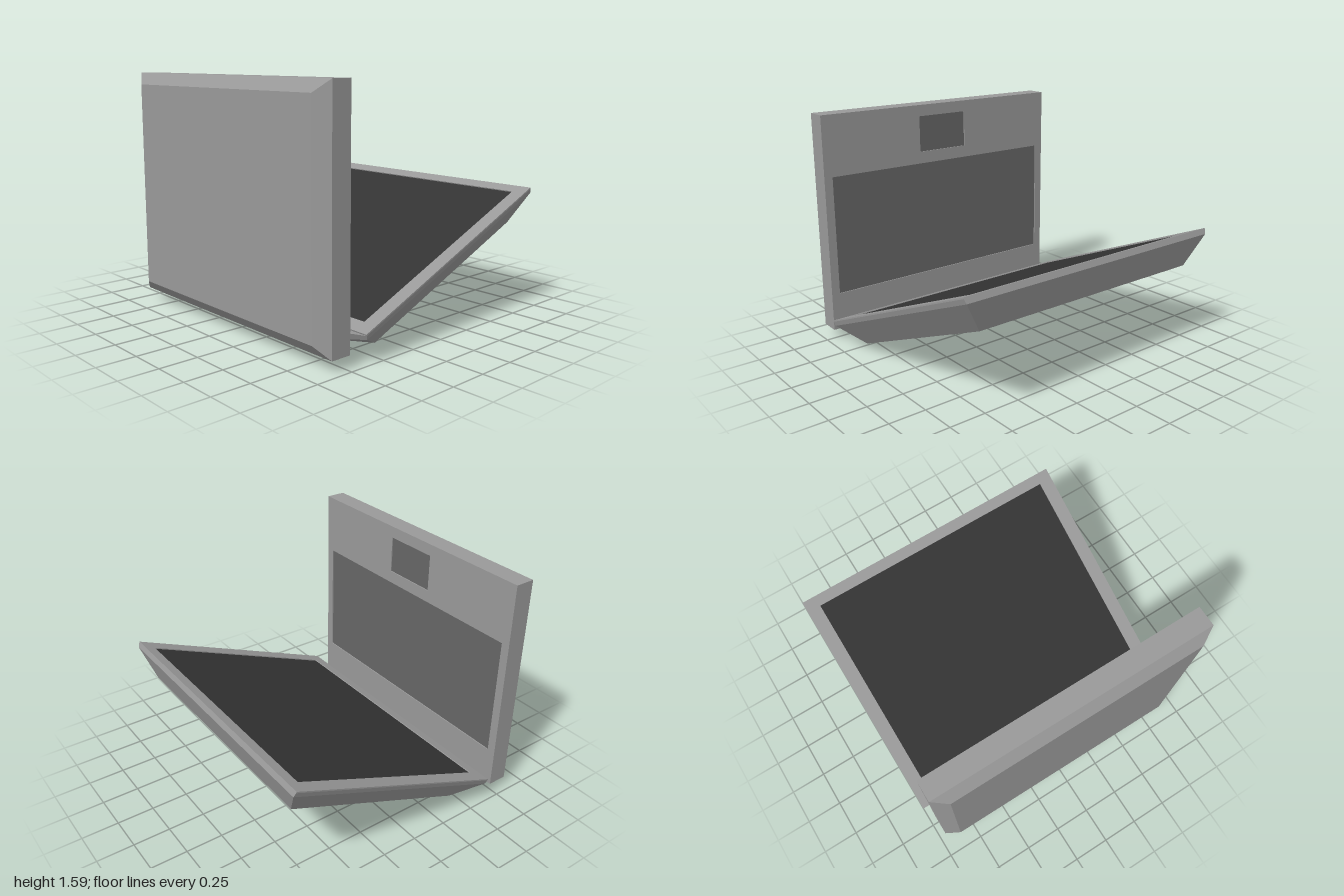
import * as THREE from 'three';
import { ConvexGeometry } from 'three/addons/geometries/ConvexGeometry.js';

const RECESS = 0.009;

const shellGrey = new THREE.MeshStandardMaterial({ color: 0x999999 });
shellGrey.name = 'shellGrey';
const keyGrey = new THREE.MeshStandardMaterial({ color: 0x666666 });
keyGrey.name = 'keyGrey';
const screenDark = new THREE.MeshStandardMaterial({ color: 0x333333 });
screenDark.name = 'screenDark';

function add(parent, name, geometry, material) {
  const mesh = new THREE.Mesh(geometry, material);
  mesh.name = name;
  parent.add(mesh);
  return mesh;
}

// Faceted solid from [x, y, z] corners, each mirrored across x = 0
function mirroredHull(corners) {
  return new ConvexGeometry(corners.flatMap(([x, y, z]) => [
    new THREE.Vector3(x, y, z), new THREE.Vector3(-x, y, z),
  ]));
}

// Rectangle outline, centred on x: half width, low y, high y
function outline(Kind, [w, y0, y1]) {
  return new Kind([[-w, y0], [w, y0], [w, y1], [-w, y1]].map(([x, y]) => new THREE.Vector2(x, y)));
}

// Thin front frame whose openings show inset panels
function addFace(parent, name, rect, insets) {
  const shape = outline(THREE.Shape, rect);
  insets.forEach(i => shape.holes.push(outline(THREE.Path, i.rect)));
  const frame = new THREE.ExtrudeGeometry(shape, { depth: RECESS, bevelEnabled: false });
  add(parent, name, frame.translate(0, 0, -RECESS), shellGrey);
  for (const { name: label, rect: [w, y0, y1], material } of insets) {
    const panel = add(parent, label, new THREE.PlaneGeometry(2 * w, y1 - y0), material);
    panel.position.set(0, (y0 + y1) / 2, -RECESS + 0.002);
  }
}

export function createModel() {
  const model = new THREE.Group();
  model.name = 'laptop';

  // Upright keyboard half, its deck facing the back
  const base = new THREE.Group();
  base.name = 'keyboardBase';
  base.position.z = 0.72;
  base.rotation.y = Math.PI;
  model.add(base);
  add(base, 'baseShell', mirroredHull([
    [0.955, 0.075, -RECESS], [0.955, 1.585, -RECESS],
    [0.955, 0.075, -0.135], [0.955, 1.585, -0.135],
    [0.86, 0.15, -0.195], [0.86, 1.51, -0.195],
  ]), shellGrey);
  addFace(base, 'keyboardDeck', [0.955, 0.075, 1.585], [
    { name: 'keyboard', rect: [0.895, 0.335, 1.165], material: keyGrey },
    { name: 'trackpad', rect: [0.195, 1.25, 1.505], material: keyGrey },
  ]);

  // Tilted screen half with a tapered back and a bulge at the hinge
  const lid = new THREE.Group();
  lid.name = 'screenLid';
  lid.position.set(0, 0.185, 0.64);
  lid.rotation.x = -Math.atan2(1.54, 0.65);
  model.add(lid);
  add(lid, 'lidShell', mirroredHull([
    [1, 0, -RECESS], [1, 1.67, -RECESS],
    [0.99, 0, -0.04], [0.99, 1.67, -0.04],
    [0.49, -0.045, -0.068], [0.49, -0.042, -0.15],
    [0.86, 0.141, -0.208], [0.86, 1.528, -0.21],
  ]), shellGrey);
  addFace(lid, 'screenBezel', [1, 0, 1.67], [
    { name: 'screen', rect: [0.905, 0.085, 1.594], material: screenDark },
  ]);

  // Hinge bar joining the halves
  add(model, 'hinge', mirroredHull([
    [0.485, 0.08, 0.73], [0.485, 0, 0.68], [0.485, 0.03, 0.61], [0.485, 0.105, 0.65],
  ]), shellGrey);

  return model;
}
